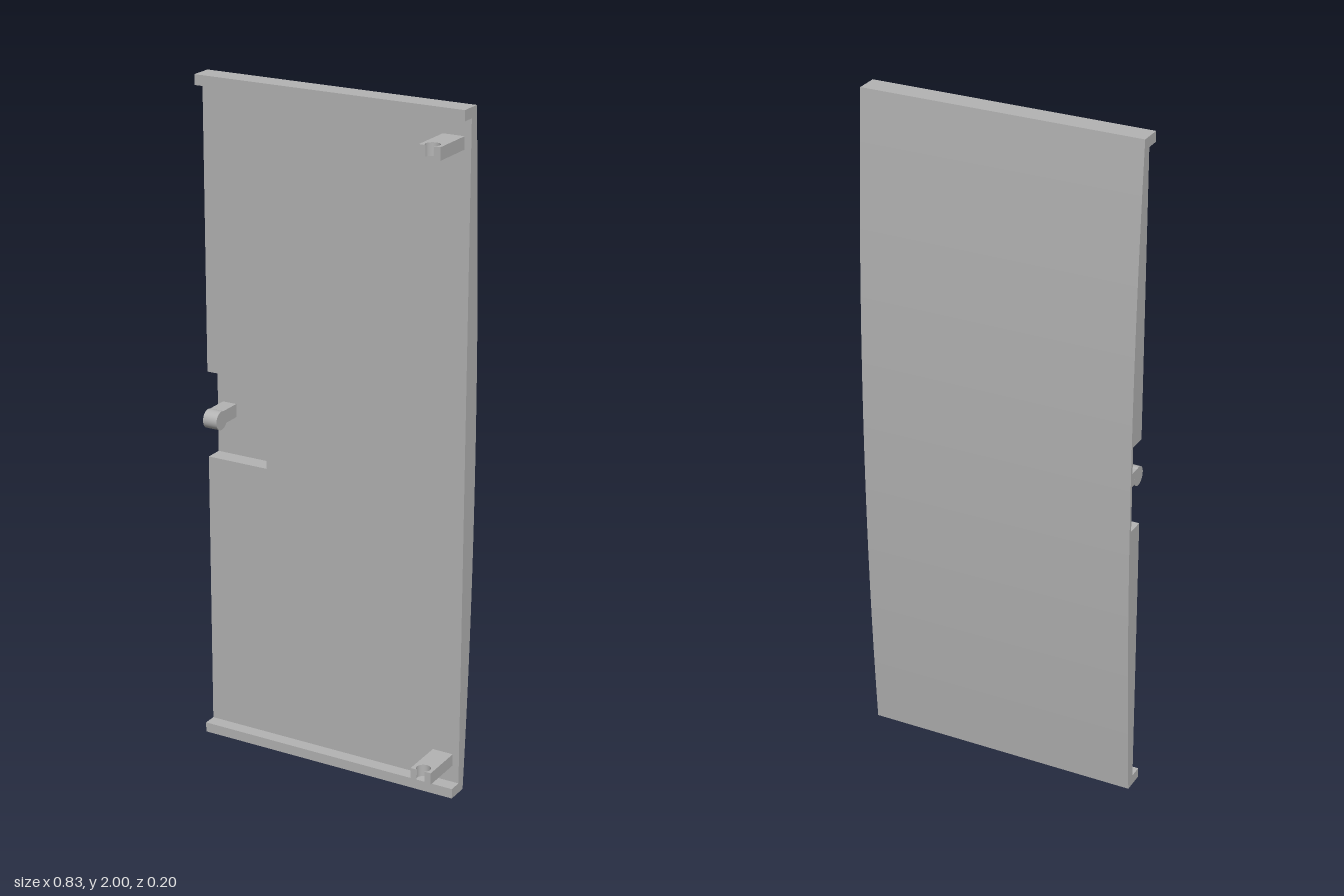
import * as THREE from 'three';

const HALF_W = 0.415;             // half width of the cover
const FACE_Z = -0.035;            // flat inner face
const POCKET_Z = -0.088;          // floor of the latch pocket
const LIP_Z = 0.005, LIP_H = 0.03;
const POCKET_X = -0.22, POCKET_LOW = 0.87, POCKET_HIGH = 1.13;

// Side profile given as [z, y] points, extruded along x from x0 to x1
function extrudeX(points, x0, x1) {
  const shape = new THREE.Shape(points.map(([z, y]) => new THREE.Vector2(-z, y)));
  const geometry = new THREE.ExtrudeGeometry(shape, { depth: x1 - x0, bevelEnabled: false });
  return geometry.rotateY(Math.PI / 2).translate(x0, 0, 0);
}

// Bowed back with a lip at each end, optionally cut by the latch pocket
function coverProfile(withPocket) {
  const points = [];
  const steps = 40;
  for (let i = 0; i <= steps; i++) {
    const y = (2 * i) / steps;
    points.push([-0.062 - 0.036 * (1 - (y - 1) ** 2), y]);
  }
  points.push([LIP_Z, 2], [LIP_Z, 2 - LIP_H], [FACE_Z, 2 - LIP_H]);
  if (withPocket) {
    points.push([FACE_Z, POCKET_HIGH], [POCKET_Z, POCKET_HIGH], [POCKET_Z, POCKET_LOW], [FACE_Z, POCKET_LOW]);
  }
  points.push([FACE_Z, LIP_H], [LIP_Z, LIP_H], [LIP_Z, 0]);
  return points;
}

// Hinge arm with a round clip socket open at the tip
function hingeArmGeometry() {
  const x0 = 0.331, x1 = 0.395, cx = 0.363, tip = 0.098, cz = 0.081, r = 0.021;
  const a = Math.asin((tip - cz) / r);
  const gap = r * Math.cos(a);
  const shape = new THREE.Shape();
  shape.moveTo(x0, FACE_Z - 0.01);
  shape.lineTo(x1, FACE_Z - 0.01);
  shape.lineTo(x1, tip);
  shape.lineTo(cx + gap, tip);
  shape.absarc(cx, cz, r, a, Math.PI - a, true);
  shape.lineTo(x0, tip);
  shape.closePath();
  const geometry = new THREE.ExtrudeGeometry(shape, { depth: 0.036, bevelEnabled: false, curveSegments: 28 });
  return geometry.rotateX(Math.PI / 2).translate(0, 0.018, 0);
}

export function createModel() {
  const model = new THREE.Group();
  model.name = 'batteryCover';
  const grey = new THREE.MeshStandardMaterial({ color: 0xb4b4b4 });
  grey.name = 'grey plastic';

  const add = (name, geometry, parent = model) => {
    const mesh = new THREE.Mesh(geometry, grey);
    mesh.name = name;
    parent.add(mesh);
    return mesh;
  };

  // Cover panel: solid section and the section holding the pocket
  add('mainPanel', extrudeX(coverProfile(false), POCKET_X, HALF_W));
  add('pocketPanel', extrudeX(coverProfile(true), -HALF_W, POCKET_X));

  // Hinge arms near the top and bottom
  for (const [name, y] of [['lowerHingeArm', 0.1], ['upperHingeArm', 1.902]]) {
    add(name, hingeArmGeometry()).position.y = y;
  }

  // Snap latch: a stem rising from the pocket with a round bead
  const latch = new THREE.Group();
  latch.name = 'latch';
  latch.position.set(-0.375, 1, 0);
  model.add(latch);
  const stemDepth = -0.008 - POCKET_Z + 0.004;
  add('latchStem', new THREE.BoxGeometry(0.045, 0.04, stemDepth), latch)
    .position.set(0, 0.006, -0.008 - stemDepth / 2);
  add('latchBead', new THREE.CylinderGeometry(0.028, 0.028, 0.0452, 32).rotateZ(Math.PI / 2), latch)
    .position.z = -0.009;

  return model;
}
